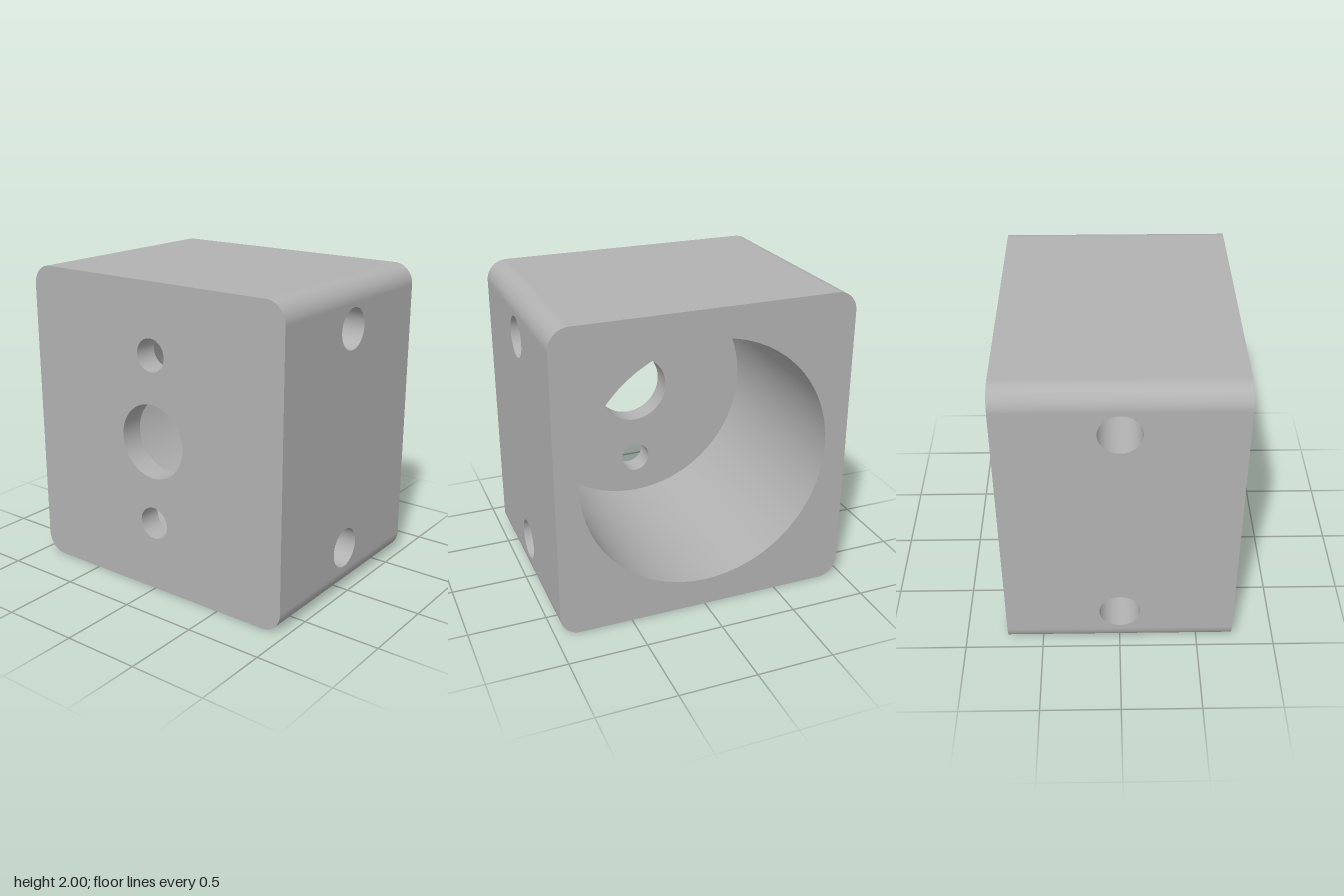
import * as THREE from 'three';

const W = 0.965, D = 0.725, R = 0.13;          // half width, half depth, edge radius
const FLOOR = 0.57;                            // z of the bore floor
const BORE = 0.815, CENTRE = 0.24, SMALL = 0.105, SIDE = 0.13, SIDE_DEPTH = 0.35;
const frontHoles = [[0, 1, CENTRE], [0, 1.55, SMALL], [0, 0.455, SMALL]];
const sideHoles = [[0, 1.715, SIDE], [0, 0.29, SIDE]];

export function createModel() {
  const model = new THREE.Group();
  const grey = new THREE.MeshStandardMaterial({ color: 0xb2b2b2 });
  grey.name = 'grey';

  const add = (name, geometry, parent = model) => {
    const mesh = new THREE.Mesh(geometry, grey);
    mesh.name = name;
    parent.add(mesh);
    return mesh;
  };
  const cut = (shape, holes) => {
    for (const [x, y, r] of holes) shape.holes.push(new THREE.Path().absarc(x, y, r, 0, Math.PI * 2, true));
    return new THREE.ShapeGeometry(shape, 32);
  };
  // Hole wall from a to b along z, facing its own axis
  const holeWall = (r, a, b) => new THREE.LatheGeometry(
    [new THREE.Vector2(r, b), new THREE.Vector2(r, a)], 64).rotateX(Math.PI / 2);

  const outline = () => {
    const s = new THREE.Shape();
    s.absarc(W - R, R, R, -Math.PI / 2, 0);
    s.absarc(W - R, 2 - R, R, 0, Math.PI / 2);
    s.absarc(-W + R, 2 - R, R, Math.PI / 2, Math.PI);
    s.absarc(-W + R, R, R, Math.PI, Math.PI * 1.5);
    s.closePath();
    return s;
  };

  // Front and back faces
  add('frontFace', cut(outline(), frontHoles)).position.z = D;
  add('backFace', cut(outline(), [[0, -1, BORE]].map(([x, y, r]) => [x, -y, r])).rotateY(Math.PI)).position.z = -D;

  // Large bore from the back and its pierced floor
  add('boreWall', holeWall(BORE, -D, FLOOR)).position.y = 1;
  const disc = new THREE.Shape().absarc(0, 1, BORE, 0, Math.PI * 2);
  add('boreFloor', cut(disc, frontHoles).rotateY(Math.PI)).position.z = FLOOR;

  // Holes through the front wall
  for (const [x, y, r] of frontHoles) add('frontHoleWall', holeWall(r, FLOOR, D)).position.set(x, y, 0);

  // Top and bottom faces
  for (const [name, y, turn] of [['topFace', 2, -1], ['bottomFace', 0, 1]]) {
    add(name, new THREE.PlaneGeometry(2 * (W - R), 2 * D).rotateX(turn * Math.PI / 2)).position.y = y;
  }

  // Rounded long edges
  [[1, R], [1, 2 - R], [-1, 2 - R], [-1, R]].forEach(([side, y], i) => {
    const g = new THREE.CylinderGeometry(R, R, 2 * D, 12, 1, true, i * Math.PI / 2, Math.PI / 2);
    add('roundedEdge', g.rotateX(Math.PI / 2)).position.set(side * (W - R), y, 0);
  });

  // Side walls, each with two blind holes
  for (const side of [1, -1]) {
    const wall = new THREE.Group();
    wall.name = side > 0 ? 'leftSide' : 'rightSide';
    wall.rotation.y = side * Math.PI / 2;
    wall.position.x = side * W;
    const s = new THREE.Shape();
    s.moveTo(-D, R).lineTo(D, R).lineTo(D, 2 - R).lineTo(-D, 2 - R).closePath();
    add('sideFace', cut(s, sideHoles), wall);
    for (const [x, y, r] of sideHoles) {
      add('sideHoleWall', holeWall(r, -SIDE_DEPTH, 0), wall).position.set(x, y, 0);
      add('sideHoleFloor', new THREE.CircleGeometry(r, 48), wall).position.set(x, y, -SIDE_DEPTH);
    }
    model.add(wall);
  }
  return model;
}
